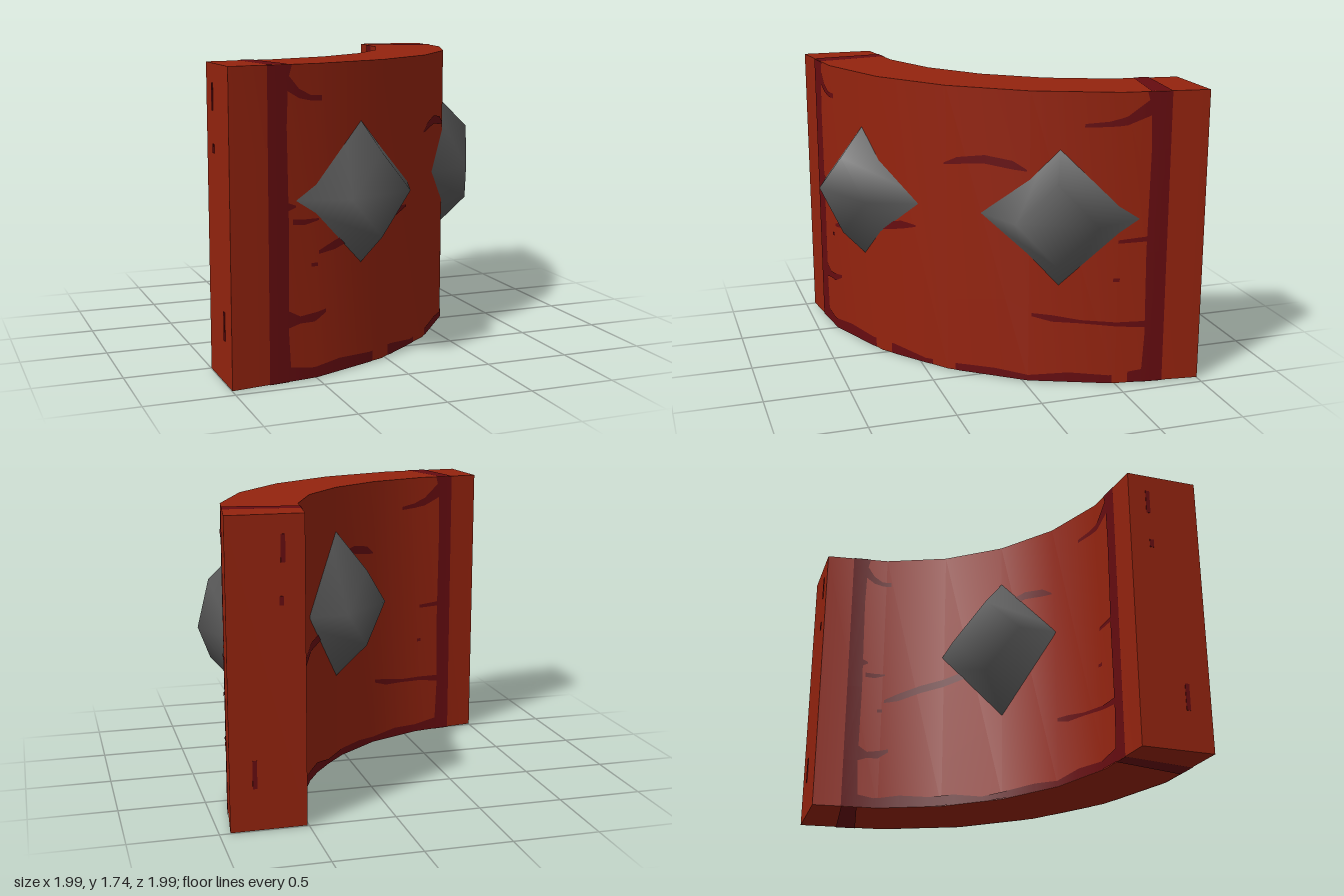
import * as THREE from 'three';
import { toCreasedNormals } from 'three/addons/utils/BufferGeometryUtils.js';

const OUTER = 1.94, INNER = 1.51, HEIGHT = 1.73, STEP = 15;
const rad = THREE.MathUtils.degToRad;

// Point on the faceted arc around (-1, -1); t in degrees from +z towards +x
function arcPoint(t, r, y, lift = 0) {
  const m = ((t % STEP) + STEP) % STEP;
  const d = r * Math.cos(rad(STEP / 2)) / Math.cos(rad(m - STEP / 2)) + lift;
  return new THREE.Vector3(-1 + d * Math.sin(rad(t)), y, -1 + d * Math.cos(rad(t)));
}

function geometry(points, index, normals) {
  const g = new THREE.BufferGeometry().setFromPoints(points);
  g.setIndex(index);
  if (normals) g.setAttribute('normal', new THREE.Float32BufferAttribute(normals, 3));
  else g.computeVertexNormals();
  return g;
}

export function createModel() {
  const group = new THREE.Group();
  const material = (name, color, side = THREE.FrontSide) =>
    Object.assign(new THREE.MeshStandardMaterial({ color, side }), { name });
  const red = material('red', 0x94230e);
  const darkRed = material('dark red', 0x660c10, THREE.DoubleSide);
  const grey = material('grey', 0x585858);

  const add = (name, geo, mat) => {
    const mesh = new THREE.Mesh(geo, mat);
    mesh.name = name;
    group.add(mesh);
    return mesh;
  };

  // Curved wall
  const outline = [];
  for (let t = 0; t <= 90; t += STEP) outline.push(arcPoint(t, OUTER, 0));
  for (let t = 90; t >= 0; t -= STEP) outline.push(arcPoint(t, INNER, 0));
  const shape = new THREE.Shape(outline.map(p => new THREE.Vector2(p.x, -p.z)));
  const wall = new THREE.ExtrudeGeometry(shape, { depth: HEIGHT, bevelEnabled: false });
  wall.rotateX(-Math.PI / 2);
  add('wall', toCreasedNormals(wall, 0.5), red);

  // Painted strip on a wall side; each row is a pair of [angle, y] points
  function paint(name, inside, rows) {
    const r = inside ? INNER : OUTER, sign = inside ? -1 : 1;
    const points = [], normals = [], index = [];
    for (const row of rows) for (const [a, y] of row) {
      const t = inside ? 90 - a : a;
      points.push(arcPoint(t, r, y, sign * 0.004));
      normals.push(sign * Math.sin(rad(t)), 0, sign * Math.cos(rad(t)));
    }
    // Rows always run so that the strip faces away from the wall
    for (let i = 0; i + 1 < rows.length; i++) {
      const a = 2 * i, b = a + 1, c = a + 2, d = a + 3;
      index.push(a, c, b, b, c, d);
    }
    add(name, geometry(points, index, normals), darkRed);
  }

  // Stroke of [angle, y, thickness], with extra points at the wall's corners
  function stroke(name, inside, pts) {
    const ts = pts.map(p => p[0]);
    for (let t = STEP; t < 90; t += STEP)
      if (t > ts[0] && t < ts[ts.length - 1] && !ts.includes(t)) ts.push(t);
    ts.sort((a, b) => a - b);
    paint(name, inside, ts.map(t => {
      let i = 0;
      while (i < pts.length - 2 && t > pts[i + 1][0]) i++;
      const p = pts[i], q = pts[i + 1], k = (t - p[0]) / (q[0] - p[0]);
      const y = p[1] + (q[1] - p[1]) * k, w = (p[2] + (q[2] - p[2]) * k) / 2;
      return [[t, y - w], [t, y + w]];
    }));
  }

  const cracks = [
    [[9.5, 1.65, 0.1], [12, 1.575, 0.05], [14, 1.55, 0.03], [16.2, 1.545, 0.03]],
    [[44.5, 1.275, 0.01], [47, 1.3, 0.04], [52, 1.32, 0.05], [57, 1.3, 0.05], [59.5, 1.275, 0.01]],
    [[15.5, 0.705, 0.02], [19, 0.73, 0.05], [24.4, 0.78, 0.05], [35, 0.85, 0.05], [38.2, 0.86, 0.01]],
    [[9.8, 0.97, 0.05], [11.3, 0.97, 0.01]],
    [[10.8, 0.885, 0.03], [13, 0.88, 0.03], [15.5, 0.89, 0.01]],
    [[14, 0.64, 0.02], [15.2, 0.64, 0.02]],
    [[9.8, 0.35, 0.1], [12, 0.34, 0.04], [14.5, 0.345, 0.05], [17, 0.37, 0.02]],
    [[69, 1.54, 0.02], [73, 1.55, 0.03], [76, 1.57, 0.05], [80.3, 1.65, 0.1]],
    [[60.5, 0.415, 0.02], [64, 0.395, 0.04], [69, 0.38, 0.02], [75, 0.37, 0.025], [80.3, 0.36, 0.04]],
    [[74.3, 0.64, 0.02], [75.4, 0.64, 0.02]],
    [[75, 0.87, 0.02], [80.3, 0.88, 0.03]],
  ];
  const base = [[10, 0.08], [14, 0.06], [20, 0.075], [27, 0.06], [33, 0.065], [40, 0.03],
    [47, 0.045], [54, 0.05], [60, 0.035], [67, 0.06], [74, 0.05], [80, 0.08]];
  for (const inside of [false, true]) {
    const where = inside ? 'inner' : 'outer';
    cracks.forEach(c => stroke(where + 'Crack', inside, c));
    stroke(where + 'BaseStripe', inside, base.map(([t, h]) => [t, h / 2, h]));
    // Upright bands near both ends
    const edge = [[0, 10.4], [0.3, 9.9], [0.8, 10.1], [1.4, 9.8], [1.65, 10.1], [HEIGHT, 10.8]];
    paint(where + 'BandA', inside, edge.map(([y, t]) => [[t, y], [6.5, y]]));
    paint(where + 'BandB', inside, edge.map(([y, t]) => [[83.5, y], [90 - t, y]]));
  }

  // Bands crossing the top and the underside
  for (const y of [HEIGHT + 0.003, -0.003]) {
    for (const [a, b] of [[6.6, 10.2], [79.8, 83.4]]) {
      const pts = [[a, INNER], [a, OUTER], [b, OUTER], [b, INNER]].map(([t, r]) => arcPoint(t, r, y));
      add('crossBand', geometry(pts, y > 1 ? [0, 1, 2, 0, 2, 3] : [0, 2, 1, 0, 3, 2]), darkRed);
    }
  }

  // Small nicks on the end faces
  for (const [u, y, h] of [[0.63, 1.55, 0.15], [0.64, 1.27, 0.05], [0.8, 0.32, 0.16]]) {
    add('endNick', new THREE.BoxGeometry(0.025, h, 0.006).translate(u, y, -1), darkRed);
    add('endNick', new THREE.BoxGeometry(0.006, h, 0.025).translate(-1, y, u), darkRed);
  }

  // Blunt diamond studs: four-sided frustums sunk into the wall
  function stud(name, angle, tip, dir) {
    const pts = [];
    for (const [w, z] of [[0.235, 0], [0.54, -0.3]])
      pts.push(...[[w, 0], [0, w], [-w, 0], [0, -w]].map(([x, y]) => new THREE.Vector3(x, y, z)));
    const index = [0, 1, 2, 0, 2, 3];
    for (let i = 0; i < 4; i++) {
      const j = (i + 1) % 4;
      index.push(i, i + 4, j, j, i + 4, j + 4);
    }
    const mesh = add(name, geometry(pts, index), grey);
    mesh.position.set(-1 + tip * Math.sin(rad(angle)), 1, -1 + tip * Math.cos(rad(angle)));
    mesh.rotation.y = rad(angle) + (dir < 0 ? Math.PI : 0);
  }
  stud('outerStudA', 25, 2.088, 1);
  stud('outerStudB', 65, 2.088, 1);
  stud('innerStud', 45, 1.29, -1);

  return group;
}
